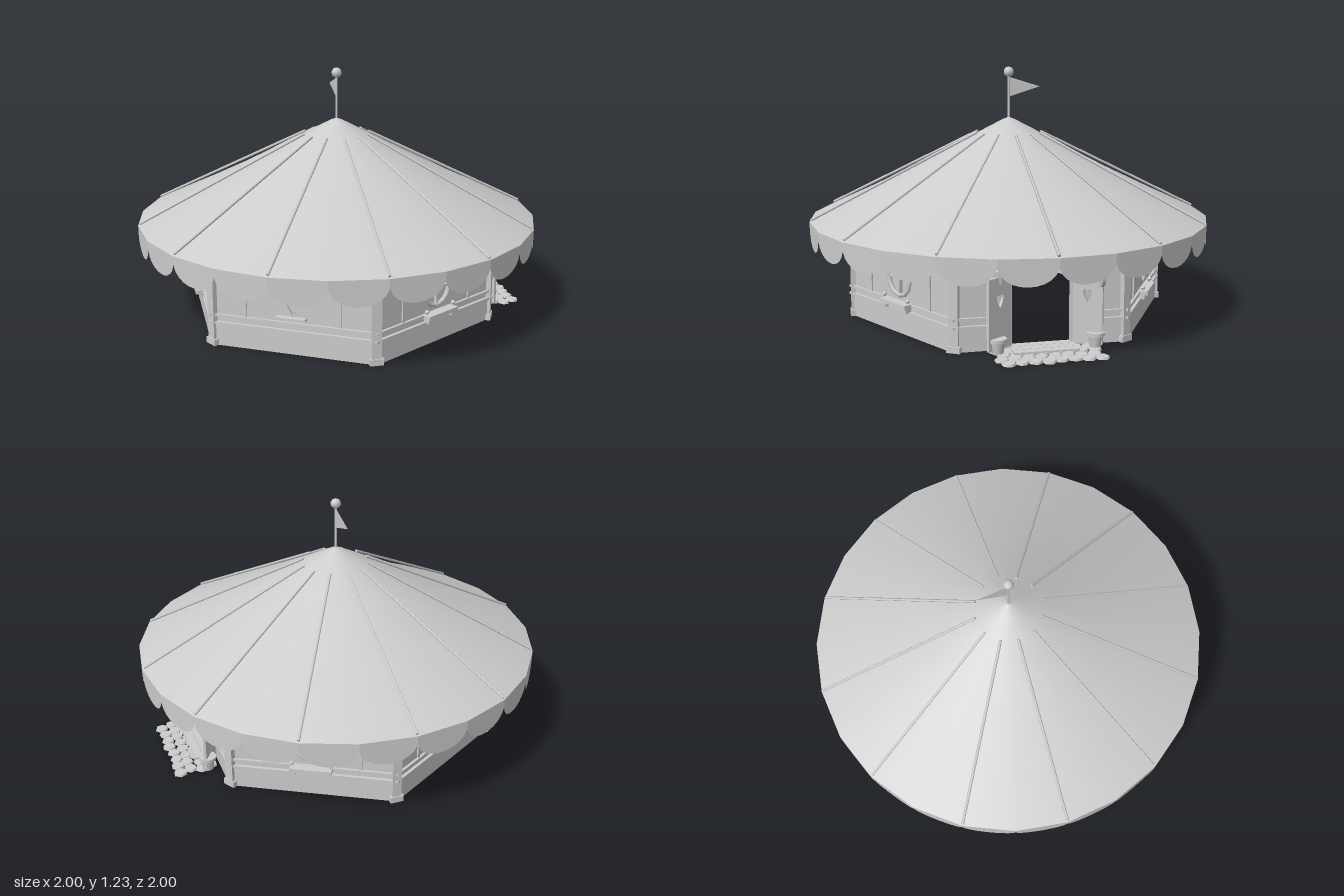
import * as THREE from 'three';

const canvas = new THREE.MeshStandardMaterial({ color: 0xcccccc, side: THREE.DoubleSide });
canvas.name = 'pale grey';
const RAD = Math.PI / 180;
const APOTHEM = 0.69, SIDE = 0.8, WALL_TOP = 0.54;

function add(parent, name, geo, x = 0, y = 0, z = 0) {
  const m = new THREE.Mesh(geo, canvas);
  m.name = name;
  m.position.set(x, y, z);
  parent.add(m);
  return m;
}
const box = (w, h, d) => new THREE.BoxGeometry(w, h, d);
const cyl = (a, b, h, n = 12) => new THREE.CylinderGeometry(a, b, h, n);
const extrude = (shape, depth) => new THREE.ExtrudeGeometry(shape, { depth, bevelEnabled: false, curveSegments: 10 });

// Group whose local +z points outward at an angle measured from +x towards +z
function facing(parent, name, degrees, radius) {
  const g = new THREE.Group();
  g.name = name;
  g.position.set(radius * Math.cos(degrees * RAD), 0, radius * Math.sin(degrees * RAD));
  g.rotation.y = (90 - degrees) * RAD;
  parent.add(g);
  return g;
}

function rod(parent, name, a, b, r, n = 6) {
  const m = add(parent, name, cyl(r, r, a.distanceTo(b), n));
  m.position.copy(a).lerp(b, 0.5);
  m.quaternion.setFromUnitVectors(new THREE.Vector3(0, 1, 0), b.clone().sub(a).normalize());
}

// Heart outline of half width w and half height h
function heart(w, h, cx, cy, type = THREE.Shape) {
  const s = new type();
  s.moveTo(cx, cy - h);
  s.bezierCurveTo(cx + w * 0.3, cy - h * 0.6, cx + w, cy - h * 0.1, cx + w, cy + h * 0.45);
  s.bezierCurveTo(cx + w, cy + h * 1.1, cx + w * 0.2, cy + h * 1.15, cx, cy + h * 0.6);
  s.bezierCurveTo(cx - w * 0.2, cy + h * 1.15, cx - w, cy + h * 1.1, cx - w, cy + h * 0.45);
  s.bezierCurveTo(cx - w, cy - h * 0.1, cx - w * 0.3, cy - h * 0.6, cx, cy - h);
  return s;
}

function wallShape() {
  const s = new THREE.Shape();
  s.moveTo(-SIDE / 2, 0);
  s.lineTo(SIDE / 2, 0);
  s.lineTo(SIDE / 2, WALL_TOP);
  s.lineTo(-SIDE / 2, WALL_TOP);
  s.closePath();
  return s;
}

function windowWall(parent, angle, round) {
  const g = facing(parent, 'wallSide', angle, APOTHEM);
  const wall = wallShape();
  const cy = round ? 0.265 : 0.275;
  wall.holes.push(round
    ? new THREE.Path().absarc(0, cy, 0.08, 0, Math.PI * 2, true)
    : heart(0.057, 0.09, 0, cy, THREE.Path));
  add(g, 'wall', extrude(wall, 0.02), 0, 0, -0.02);
  // skirting and rails reach through to the inside
  add(g, 'skirting', box(SIDE, 0.105, 0.036), 0, 0.0525, -0.01);
  add(g, 'lowerRail', box(SIDE + 0.02, 0.012, 0.05), 0, 0.113, -0.01);
  add(g, 'upperRail', box(SIDE + 0.02, 0.012, 0.046), 0, 0.15, -0.01);
  for (const x of [-0.23, 0.23]) add(g, 'batten', box(0.014, WALL_TOP - 0.15, 0.034), x, (WALL_TOP + 0.15) / 2, -0.01);
  add(g, 'topPlate', box(SIDE, 0.025, 0.036), 0, WALL_TOP - 0.015, -0.01);
  if (round) {
    add(g, 'windowGlass', new THREE.CircleGeometry(0.082, 24), 0, cy, -0.01);
    add(g, 'windowRing', new THREE.TorusGeometry(0.084, 0.011, 6, 12), 0, cy, 0.002);
    add(g, 'windowBar', box(0.01, 0.16, 0.016), 0, cy, -0.002);
    add(g, 'windowBar', box(0.16, 0.01, 0.016), 0, cy, -0.002);
    add(g, 'windowSill', box(0.2, 0.02, 0.05), 0, 0.148, 0.025);
    for (const x of [-0.08, 0.08]) {
      add(g, 'sillBracket', box(0.014, 0.03, 0.03), x, 0.13, 0.018);
      add(g, 'sillFlower', new THREE.IcosahedronGeometry(0.012), x * 1.15, 0.175, 0.025);
    }
  } else {
    add(g, 'heartGlass', new THREE.ShapeGeometry(heart(0.058, 0.091, 0, cy)), 0, 0, -0.01);
    const frame = heart(0.062, 0.098, 0, cy);
    frame.holes.push(heart(0.05, 0.081, 0, cy, THREE.Path));
    add(g, 'heartFrame', extrude(frame, 0.034), 0, 0, -0.027);
    add(g, 'heartSill', box(0.14, 0.012, 0.035), 0, 0.178, 0.012);
  }
}

function entrance(parent) {
  const g = facing(parent, 'entrance', 26, APOTHEM);
  const wall = wallShape();
  const hole = new THREE.Path();
  hole.moveTo(-0.14, 0.001);
  hole.lineTo(-0.14, 0.37);
  hole.lineTo(0.14, 0.37);
  hole.lineTo(0.14, 0.001);
  hole.closePath();
  wall.holes.push(hole);
  add(g, 'doorWall', extrude(wall, 0.02), 0, 0, -0.02);
  add(g, 'lintel', box(0.32, 0.02, 0.04), 0, 0.375, -0.008);
  for (const s of [-1, 1]) {
    add(g, 'doorJamb', box(0.018, 0.37, 0.04), s * 0.147, 0.185, -0.008);
    add(g, 'skirting', box(0.24, 0.105, 0.036), s * 0.28, 0.0525, -0.01);
    add(g, 'lowerRail', box(0.24, 0.012, 0.05), s * 0.28, 0.113, -0.01);
    add(g, 'upperRail', box(0.24, 0.012, 0.046), s * 0.28, 0.15, -0.01);
    // open door leaf with a heart cut-out
    const hinge = new THREE.Group();
    hinge.name = 'doorLeaf';
    hinge.position.set(s * 0.145, 0, 0.012);
    hinge.rotation.y = s > 0 ? -33 * RAD : Math.PI + 33 * RAD;
    g.add(hinge);
    const leaf = new THREE.Shape();
    leaf.moveTo(0, 0.02);
    leaf.lineTo(0.14, 0.02);
    leaf.lineTo(0.14, 0.345);
    leaf.lineTo(0, 0.355);
    leaf.closePath();
    leaf.holes.push(heart(0.02, 0.032, 0.07, 0.24, THREE.Path));
    add(hinge, 'doorPanel', extrude(leaf, 0.014), 0, 0, -0.007);
    // flower pots
    const x = s > 0 ? 0.235 : -0.215;
    add(g, 'flowerPot', cyl(0.036, 0.026, 0.06), x, 0.035, 0.07);
    add(g, 'potRim', cyl(0.042, 0.042, 0.016), x, 0.068, 0.07);
  }
  // projecting round sign
  rod(g, 'signArm', new THREE.Vector3(0.25, 0.405, -0.01), new THREE.Vector3(0.25, 0.405, 0.14), 0.007);
  add(g, 'roundSign', cyl(0.055, 0.055, 0.016, 20), 0.25, 0.345, 0.09).rotation.z = Math.PI / 2;
  // lantern
  add(g, 'lanternArm', box(0.014, 0.014, 0.06), -0.2, 0.4, 0.02);
  add(g, 'lantern', cyl(0.022, 0.016, 0.06, 6), -0.2, 0.345, 0.045);
  add(g, 'lanternCap', cyl(0.004, 0.03, 0.025, 6), -0.2, 0.388, 0.045);
  // threshold and paving
  for (let i = 0; i < 3; i++) add(g, 'stepPlank', box(0.3, 0.018, 0.042), 0, 0.009, 0.005 + i * 0.045);
  let seed = 7;
  const rand = () => (seed = (seed * 16807) % 2147483647) / 2147483647;
  for (let row = 0; row < 4; row++) {
    for (let i = 0; i < 8; i++) {
      const stone = add(g, 'pavingStone', cyl(0.03, 0.034, 0.01, 6),
        -0.215 + i * 0.06 + (row % 2) * 0.02, 0.005, 0.04 + row * 0.053 + rand() * 0.012);
      stone.rotation.y = rand() * 3;
      stone.scale.z = 0.85 + rand() * 0.2;
    }
  }
}

export function createModel() {
  const model = new THREE.Group();
  model.name = 'roundTent';

  // six walls and their corner posts
  entrance(model);
  for (let k = 1; k < 6; k++) windowWall(model, 26 + 60 * k, k % 2 === 1);
  for (let k = 0; k < 6; k++) {
    const post = facing(model, 'cornerPost', -4 + 60 * k, 0.787);
    add(post, 'post', box(0.045, 0.55, 0.04), 0, 0.275, 0);
    add(post, 'postFoot', box(0.065, 0.03, 0.05), 0, 0.015, 0);
  }

  // roof
  const profile = [[1, 0.482], [0.75, 0.598], [0.5, 0.719], [0.25, 0.85], [0.1, 0.932], [0.03, 0.968], [0, 0.98]];
  add(model, 'roof', new THREE.LatheGeometry(profile.map(p => new THREE.Vector2(...p)), 24, 4 * RAD));
  for (let k = 0; k < 12; k++) {
    const a = (-4 + 30 * k) * RAD, c = Math.cos(a), s = Math.sin(a);
    rod(model, 'roofRib', new THREE.Vector3(0.165 * c, 0.904, 0.165 * s), new THREE.Vector3(0.993 * c, 0.491, 0.993 * s), 0.007);
  }

  // scalloped valance
  const w = Math.sin(7.5 * RAD);
  const flap = new THREE.Shape();
  flap.moveTo(-w, 0.482);
  flap.lineTo(-w, 0.44);
  flap.bezierCurveTo(-w * 0.8, 0.333, w * 0.8, 0.333, w, 0.44);
  flap.lineTo(w, 0.482);
  flap.closePath();
  const flapGeo = new THREE.ShapeGeometry(flap, 10);
  for (let k = 0; k < 24; k++) {
    add(facing(model, 'valance', 3.5 + 15 * k, Math.cos(7.5 * RAD)), 'valanceFlap', flapGeo);
  }

  // mast, ball and pennant
  add(model, 'mast', cyl(0.006, 0.006, 0.24, 8), 0, 1.08, 0);
  add(model, 'mastBall', new THREE.IcosahedronGeometry(0.026, 1), 0, 1.205, 0);
  const flag = new THREE.Shape([new THREE.Vector2(0, 1.08), new THREE.Vector2(0.161, 1.13), new THREE.Vector2(0, 1.18)]);
  add(model, 'pennant', new THREE.ShapeGeometry(flag)).rotation.y = Math.atan2(0.145, 0.07);
  return model;
}
